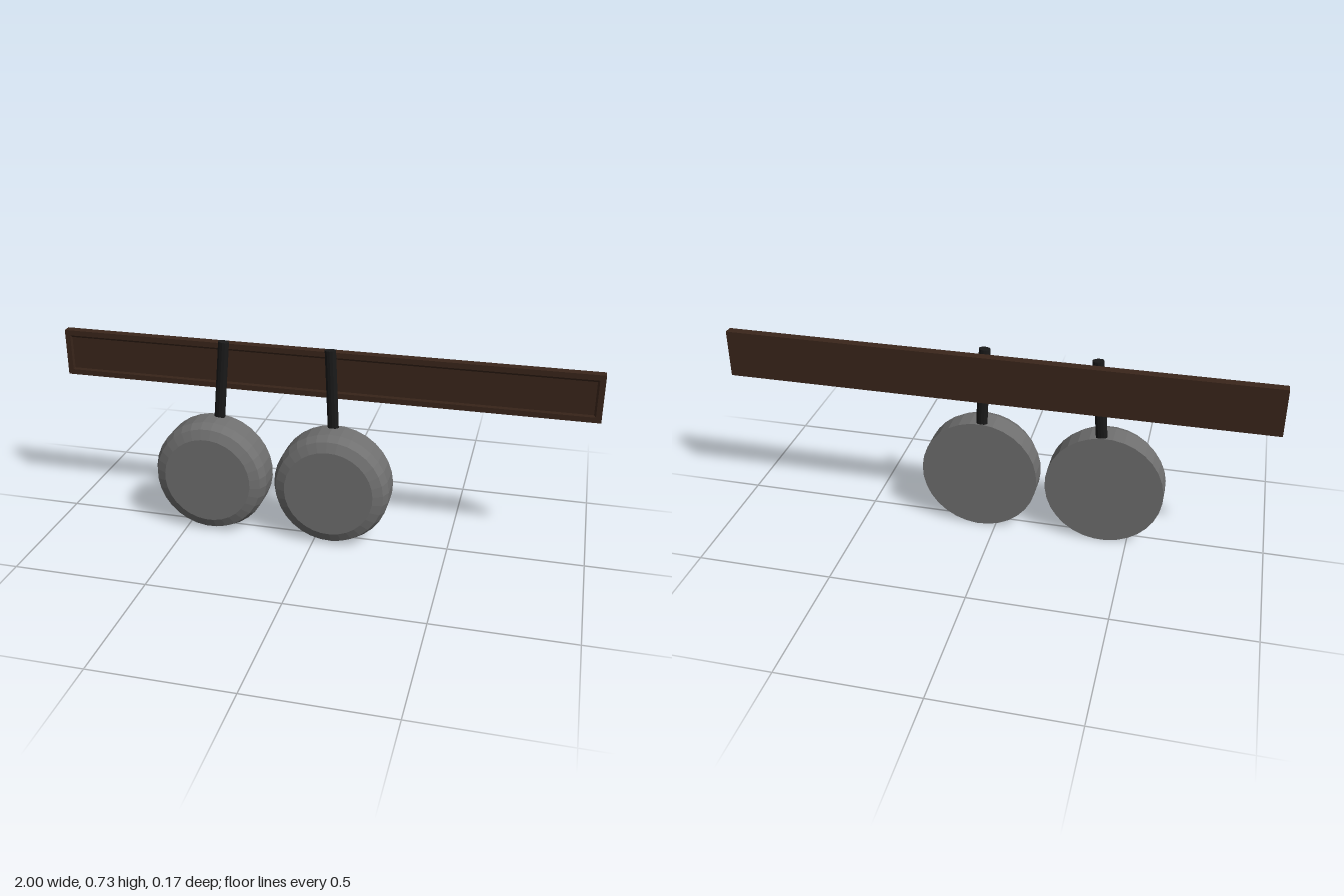
import * as THREE from 'three';

const wood = new THREE.MeshStandardMaterial({ color: 0x3a261b, flatShading: true });
const steel = new THREE.MeshStandardMaterial({ color: 0x707070, flatShading: true });
const black = new THREE.MeshStandardMaterial({ color: 0x1a1a1a, flatShading: true });

// Board with a shallow recessed front panel, from rectangular loops [inset, z], back to front
function boardGeometry(width, height, loops) {
  const corners = [[-1, -1], [1, -1], [1, 1], [-1, 1]];
  const pos = [], index = [];
  for (const [inset, z] of loops)
    for (const [sx, sy] of corners)
      pos.push(sx * (width / 2 - inset), sy * (height / 2 - inset), z);
  for (let r = 0; r < loops.length - 1; r++)
    for (let i = 0; i < 4; i++) {
      const a = r * 4 + i, b = r * 4 + (i + 1) % 4;
      index.push(a, b, b + 4, a, b + 4, a + 4);
    }
  const f = (loops.length - 1) * 4;
  index.push(0, 2, 1, 0, 3, 2, f, f + 1, f + 2, f, f + 2, f + 3);
  const g = new THREE.BufferGeometry();
  g.setAttribute('position', new THREE.Float32BufferAttribute(pos, 3));
  g.setIndex(index);
  const flat = g.toNonIndexed();
  flat.computeVertexNormals();
  return flat;
}

// Hanging pan: closed chamfered disc plus an oval handle, tilted as one
function makePan(name, x, tilt) {
  const pan = new THREE.Group();
  pan.name = name;

  const profile = [[0, -0.053], [0.218, -0.053], [0.218, 0.035], [0.203, 0.07], [0.167, 0.086], [0, 0.086]]
    .map(([r, z]) => new THREE.Vector2(r, z));
  const body = new THREE.Mesh(new THREE.LatheGeometry(profile, 32).rotateX(Math.PI / 2), steel);
  body.name = 'panBody';

  const length = 0.31;
  const handleGeometry = new THREE.CylinderGeometry(1, 1, length, 12);
  handleGeometry.scale(0.021, 1, 0.016);
  const handle = new THREE.Mesh(handleGeometry, black);
  handle.name = 'panHandle';
  handle.position.set(0, 0.516 - length / 2, -0.036);

  pan.add(body, handle);
  pan.position.set(x, 0.22, 0);
  pan.rotation.z = tilt;
  return pan;
}

export function createModel() {
  const model = new THREE.Group();
  model.name = 'panRack';

  const board = new THREE.Mesh(
    boardGeometry(2, 0.177, [[0, -0.085], [0, -0.052], [0.02, -0.052], [0.027, -0.056]]), wood);
  board.name = 'wallBoard';
  board.position.y = 0.633;
  model.add(board);

  model.add(makePan('rightPan', -0.405, -0.087), makePan('leftPan', 0.062, 0.042));
  return model;
}
